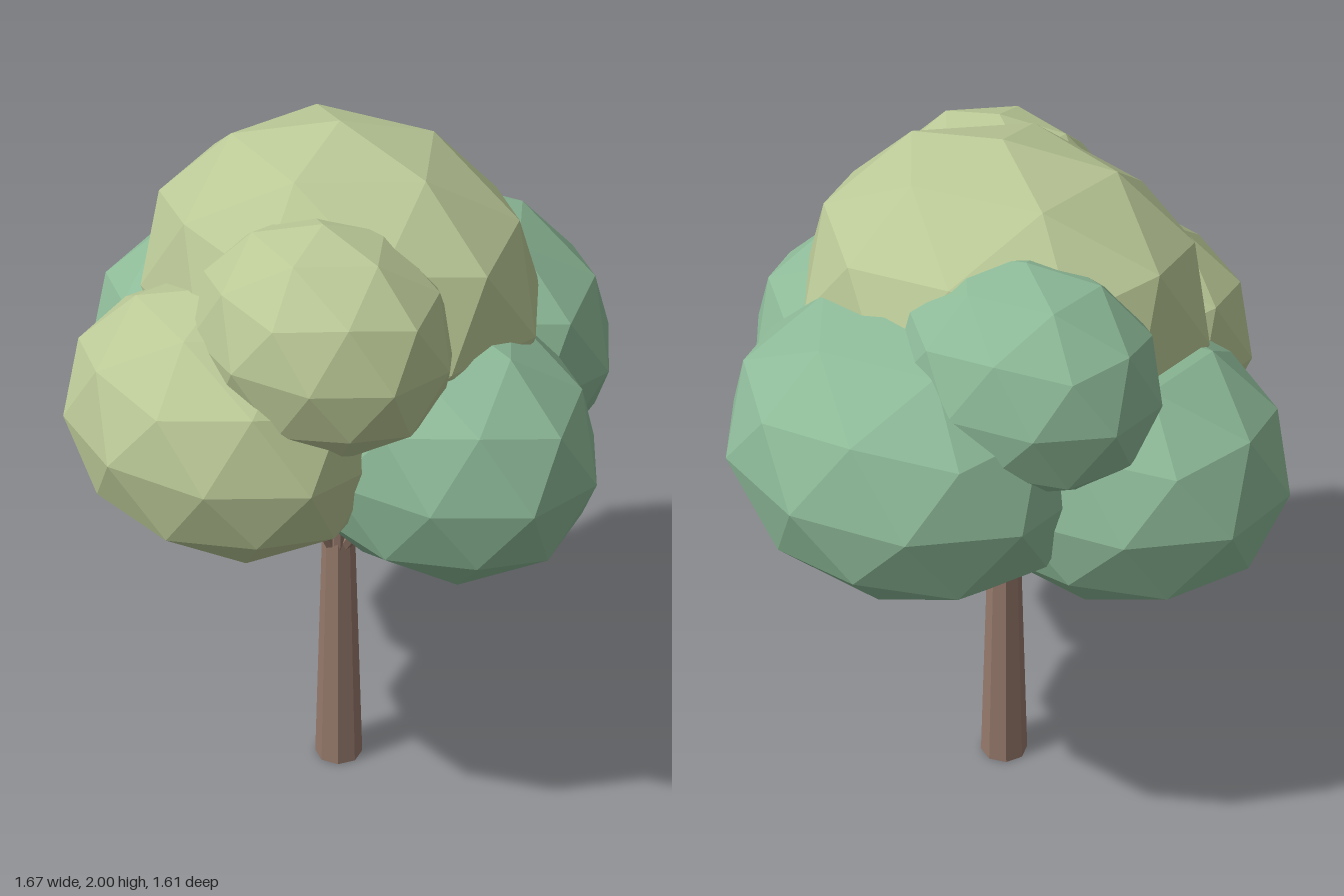
import * as THREE from 'three';

const material = (color) => new THREE.MeshStandardMaterial({ color, flatShading: true });

export function createModel() {
  const tree = new THREE.Group();
  tree.name = 'tree';
  const bark = material(0x94786a);
  const lightLeaf = material(0xbac896);
  const darkLeaf = material(0x8dba98);

  const add = (name, geometry, mat) => {
    const mesh = new THREE.Mesh(geometry, mat);
    mesh.name = name;
    tree.add(mesh);
    return mesh;
  };

  // Tapered eight-sided trunk
  add('trunk', new THREE.CylinderGeometry(0.046, 0.07, 0.78, 8), bark).position.set(0.005, 0.39, 0.018);

  // Thin branches fanning out from the trunk top into the crown
  const up = new THREE.Vector3(0, 1, 0);
  const branch = (name, from, to) => {
    const a = new THREE.Vector3(...from);
    const dir = new THREE.Vector3(...to).sub(a);
    const mesh = add(name, new THREE.CylinderGeometry(0.014, 0.019, dir.length(), 6), bark);
    mesh.position.copy(a).addScaledVector(dir, 0.5);
    mesh.quaternion.setFromUnitVectors(up, dir.normalize());
  };
  const tips = [
    ['branchLeft', 0.25, 1.05, 0.02],
    ['branchRight', -0.24, 1.07, 0.02],
    ['branchFront', 0.01, 1.1, 0.24],
    ['branchBack', 0.01, 1.08, -0.22],
    ['branchFrontLeft', 0.11, 1.3, 0.1],
    ['branchBackRight', -0.1, 1.3, -0.08],
  ];
  for (const [name, x, y, z] of tips) {
    const h = Math.hypot(x, z);
    branch(name, [0.005 + (x / h) * 0.027, 0.74, 0.018 + (z / h) * 0.027], [x, y, z]);
  }

  // Faceted leaf ball with one corner pointing straight up
  const ball = new THREE.IcosahedronGeometry(1, 1);
  ball.rotateZ(-Math.atan2(0.5257, 0.8507));

  // Leaf masses: name, material, centre, radii
  const leaves = [
    ['crownTop', lightLeaf, [0.008, 1.545, 0.015], [0.589, 0.455, 0.485]],
    ['crownFront', lightLeaf, [0.005, 1.3, 0.41], [0.478, 0.363, 0.39]],
    ['crownFrontLeftSmall', lightLeaf, [0.265, 1.592, 0.31], [0.365, 0.3, 0.3]],
    ['crownRight', darkLeaf, [-0.365, 1.217, 0.015], [0.498, 0.384, 0.415]],
    ['crownLeft', darkLeaf, [0.376, 1.243, 0.02], [0.478, 0.373, 0.37]],
    ['crownBack', darkLeaf, [0.008, 1.283, -0.375], [0.523, 0.4, 0.432]],
    ['crownBackRightSmall', darkLeaf, [-0.282, 1.545, -0.245], [0.373, 0.31, 0.298]],
  ];
  for (const [name, mat, centre, radii] of leaves) {
    const mesh = add(name, ball, mat);
    mesh.position.set(...centre);
    mesh.scale.set(...radii);
  }
  return tree;
}
